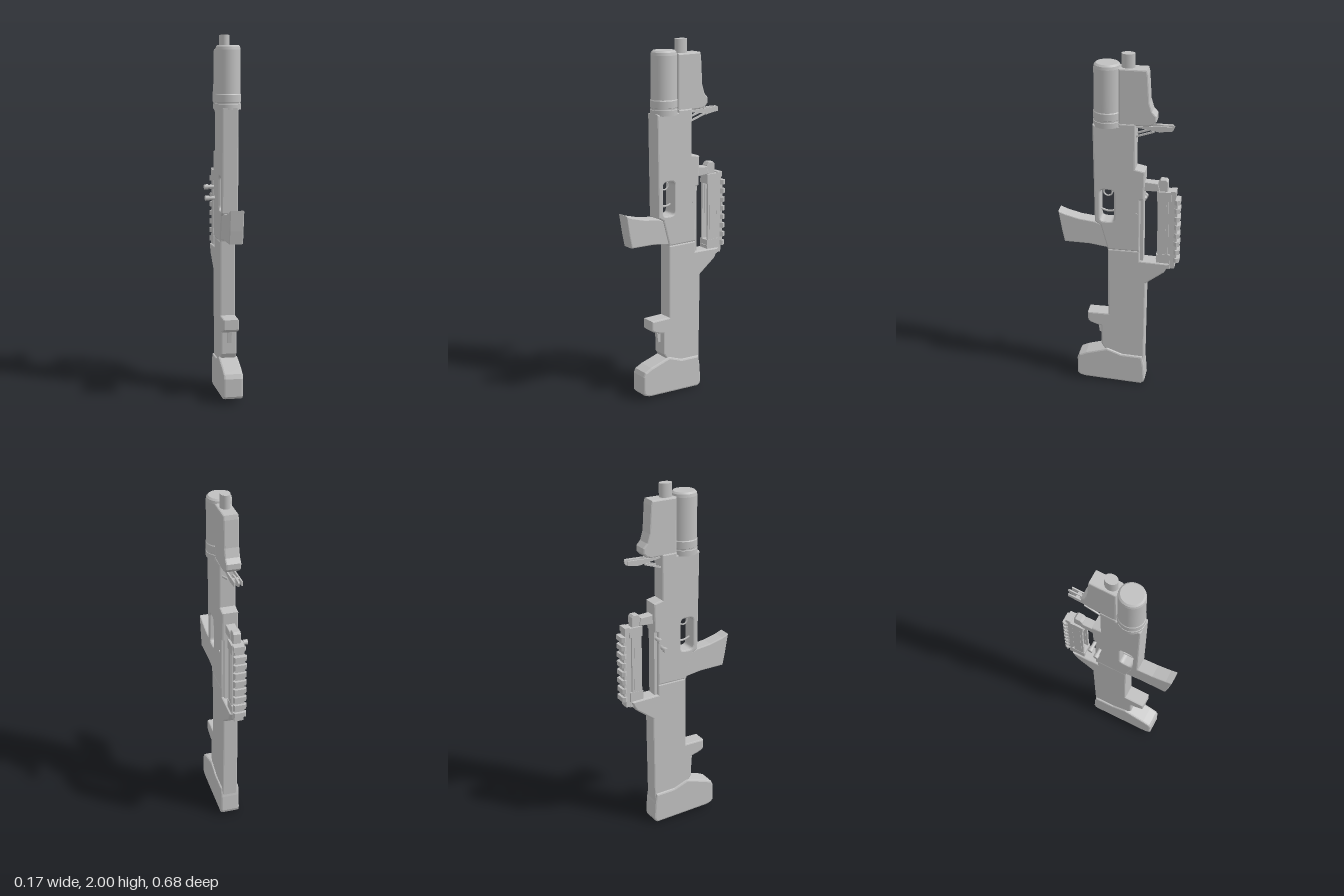
import * as THREE from 'three';

const CX = 0.0135; // the body's centre plane

export function createModel() {
  const model = new THREE.Group();
  const grey = new THREE.MeshStandardMaterial({ color: 0xc0c0c0 });
  grey.name = 'plain grey';

  const add = (name, geo, x = 0, y = 0, z = 0, parent = model) => {
    const m = new THREE.Mesh(geo, grey);
    m.name = name;
    m.position.set(x, y, z);
    parent.add(m);
    return m;
  };
  const box = (name, x0, x1, y0, y1, z0, z1) =>
    add(name, new THREE.BoxGeometry(x1 - x0, y1 - y0, z1 - z0),
      (x0 + x1) / 2, (y0 + y1) / 2, (z0 + z1) / 2);

  // Side profile of [z, y] points, extruded across x with chamfered edges
  const slab = (name, pts, half, bevel = 0.008, hole = null, x = CX) => {
    const shape = new THREE.Shape(pts.map(([z, y]) => new THREE.Vector2(-z, y)));
    if (hole) shape.holes.push(hole);
    const geo = new THREE.ExtrudeGeometry(shape, {
      depth: 2 * (half - bevel), bevelEnabled: bevel > 0, bevelThickness: bevel,
      bevelSize: bevel, bevelOffset: -bevel, bevelSegments: 2, curveSegments: 8,
    });
    geo.translate(0, 0, -(half - bevel));
    geo.rotateY(Math.PI / 2);
    return add(name, geo, x);
  };

  // Receiver with a rounded opening right through it
  const opening = new THREE.Path();
  const [l, r, b, t, c] = [-0.102, -0.024, 1.045, 1.235, 0.025];
  opening.moveTo(l + c, b);
  opening.lineTo(r - c, b);
  opening.quadraticCurveTo(r, b, r, b + c);
  opening.lineTo(r, t - c);
  opening.quadraticCurveTo(r, t, r - c, t);
  opening.lineTo(l + c, t);
  opening.quadraticCurveTo(l, t, l, t - c);
  opening.lineTo(l, b + c);
  opening.quadraticCurveTo(l, b, l + c, b);
  slab('receiver', [[0.14, 1.61], [0, 1.61], [0, 1.625], [-0.092, 1.625], [-0.092, 1.368],
    [-0.145, 1.357], [-0.14, 1.19], [-0.12, 1.185], [-0.12, 0.872], [0.06, 0.872],
    [0.1, 1.02], [0.132, 1.04]], 0.046, 0.008, opening);

  // Curved pieces inside the opening
  const ring = add('openingRing', new THREE.TorusGeometry(0.024, 0.005, 6, 20), CX, 1.208, 0.064);
  ring.rotation.y = Math.PI / 2;
  const curve = new THREE.QuadraticBezierCurve3(new THREE.Vector3(CX, 1.105, 0.104),
    new THREE.Vector3(CX, 1.08, 0.06), new THREE.Vector3(CX, 1.1, 0.022));
  add('openingBar', new THREE.TubeGeometry(curve, 10, 0.006, 6));

  // Stock, wedge and lower lug
  slab('stock', [[0.06, 0.874], [-0.12, 0.874], [-0.12, 0.812], [-0.285, 0.806], [-0.257, 0.75],
    [-0.155, 0.672], [-0.148, 0.14], [0.07, 0.2], [0.1, 0.245], [0.1, 0.368], [0.13, 0.375],
    [0.165, 0.388], [0.178, 0.4], [0.178, 0.455], [0.06, 0.455]], 0.044);
  slab('lugHook', [[0.1, 0.38], [0.125, 0.38], [0.115, 0.31], [0.1, 0.31]], 0.012, 0);
  slab('buttPad', [[0.065, 0.222], [0.19, 0.185], [0.232, 0.165], [0.243, 0.14], [0.243, 0.04],
    [0.23, 0.025], [0.2, 0.016], [-0.135, 0], [-0.15, 0.012], [-0.156, 0.03], [-0.15, 0.125],
    [-0.14, 0.185], [-0.02, 0.19]], 0.055, 0.01);

  // Angled grip
  slab('grip', [[0.338, 1.083], [0.3, 1.068], [0.22, 1.047], [0.13, 1.036], [0.09, 1.02],
    [0.055, 0.88], [0.16, 0.895], [0.305, 0.898], [0.32, 0.97]], 0.039, 0.006);

  // Upper housing and muzzle
  slab('upperHousing', [[0, 1.925], [-0.15, 1.925], [-0.156, 1.9], [-0.165, 1.75], [-0.18, 1.7],
    [-0.203, 1.675], [-0.203, 1.645], [-0.185, 1.625], [-0.155, 1.615], [0, 1.615]], 0.042);
  const muzzle = add('muzzle', new THREE.CylinderGeometry(0.028, 0.028, 0.09, 28), CX, 1.955, -0.046);
  muzzle.scale.z = 1.3;

  // Front tube with bands and a rounded cap
  const tubeProfile = [[0, 1.6], [0.071, 1.6], [0.0715, 1.63], [0.069, 1.632], [0.069, 1.64],
    [0.0715, 1.642], [0.0715, 1.68], [0.068, 1.685], [0.068, 1.92], [0.065, 1.936],
    [0.056, 1.945], [0, 1.945]].map(([x, y]) => new THREE.Vector2(x, y));
  const flatProfile = new THREE.CurvePath();
  for (let i = 1; i < tubeProfile.length; i++) {
    flatProfile.add(new THREE.LineCurve(tubeProfile[i - 1], tubeProfile[i]));
  }
  const tube = new THREE.Group();
  tube.name = 'frontTube';
  tube.position.set(CX, 0, 0.066);
  tube.scale.z = 1.06;
  model.add(tube);
  flatProfile.curves.forEach((seg) =>
    add('tubeSection', new THREE.LatheGeometry([seg.v1, seg.v2], 40), 0, 0, 0, tube));

  // Folded lever behind the housing
  slab('leverTip', [[-0.2, 1.615], [-0.285, 1.618], [-0.297, 1.612], [-0.288, 1.588],
    [-0.215, 1.572]], 0.0045, 0);
  for (const s of [-1, 1]) {
    slab('leverArm', [[-0.08, 1.608], [-0.285, 1.615], [-0.285, 1.59], [-0.215, 1.582],
      [-0.1, 1.6]], 0.004, 0, null, CX + s * 0.02);
    slab('leverStrut', [[-0.085, 1.545], [-0.085, 1.555], [-0.19, 1.59], [-0.19, 1.58]],
      0.004, 0, null, CX + s * 0.027);
  }
  box('leverCrossbar', CX - 0.024, CX + 0.024, 1.588, 1.61, -0.245, -0.225);

  // Sight mount: brackets, side plates and clamps
  slab('upperBracket', [[-0.13, 1.29], [-0.215, 1.285], [-0.225, 1.24], [-0.14, 1.235]], 0.026, 0.004);
  slab('mountPost', [[-0.215, 1.235], [-0.215, 1.29], [-0.228, 1.307], [-0.258, 1.307],
    [-0.268, 1.295], [-0.268, 1.235]], 0.022, 0.004);
  box('innerRod', CX - 0.03, CX + 0.03, 0.81, 1.19, -0.137, -0.118);
  slab('lowerFoot', [[-0.205, 0.83], [-0.285, 0.83], [-0.29, 0.77], [-0.25, 0.765]], 0.028, 0.004);
  for (const s of [-1, 1]) {
    const x = CX + s * 0.026;
    box('sidePlate', x - 0.006, x + 0.006, 0.8, 1.24, -0.275, -0.215);
    box('sideRib', x - 0.008, x + 0.008, 0.87, 1.185, -0.262, -0.228);
  }
  box('mountCore', CX - 0.02, CX + 0.02, 0.82, 1.22, -0.285, -0.25);
  for (const [y0, y1] of [[0.805, 0.86], [1.185, 1.24]]) {
    box('clamp', CX - 0.034, CX + 0.034, y0, y1, -0.288, -0.21);
  }

  // Toothed rail: dovetail cross-section repeated along y
  box('railEnd', CX - 0.03, CX + 0.03, 1.215, 1.245, -0.315, -0.285);
  box('railBase', CX - 0.026, CX + 0.026, 0.775, 1.225, -0.312, -0.28);
  const dovetail = new THREE.Shape([[-0.026, 0.306], [0.026, 0.306], [0.038, 0.32],
    [0.03, 0.337], [-0.03, 0.337], [-0.038, 0.32]].map(([x, z]) => new THREE.Vector2(x, z)));
  const toothGeo = new THREE.ExtrudeGeometry(dovetail, { depth: 0.027, bevelEnabled: false });
  toothGeo.rotateX(-Math.PI / 2);
  for (let i = 0; i < 8; i++) add('railTooth', toothGeo, CX, 0.815 + i * 0.0505, 0);
  box('railSpine', CX - 0.027, CX + 0.027, 0.815, 1.195, -0.322, -0.308);

  // Two side knobs and a small pin on the other side
  for (const [y, z] of [[1.155, -0.131], [1.095, -0.098]]) {
    const head = add('knobHead', new THREE.CylinderGeometry(0.0145, 0.0145, 0.023, 18), -0.0755, y, z);
    const stem = add('knobStem', new THREE.CylinderGeometry(0.01, 0.01, 0.04, 14), -0.046, y, z);
    head.rotation.z = stem.rotation.z = Math.PI / 2;
  }
  const pin = add('sidePin', new THREE.CylinderGeometry(0.008, 0.008, 0.1, 12), CX, 1.1, -0.1);
  pin.rotation.z = Math.PI / 2;

  return model;
}
